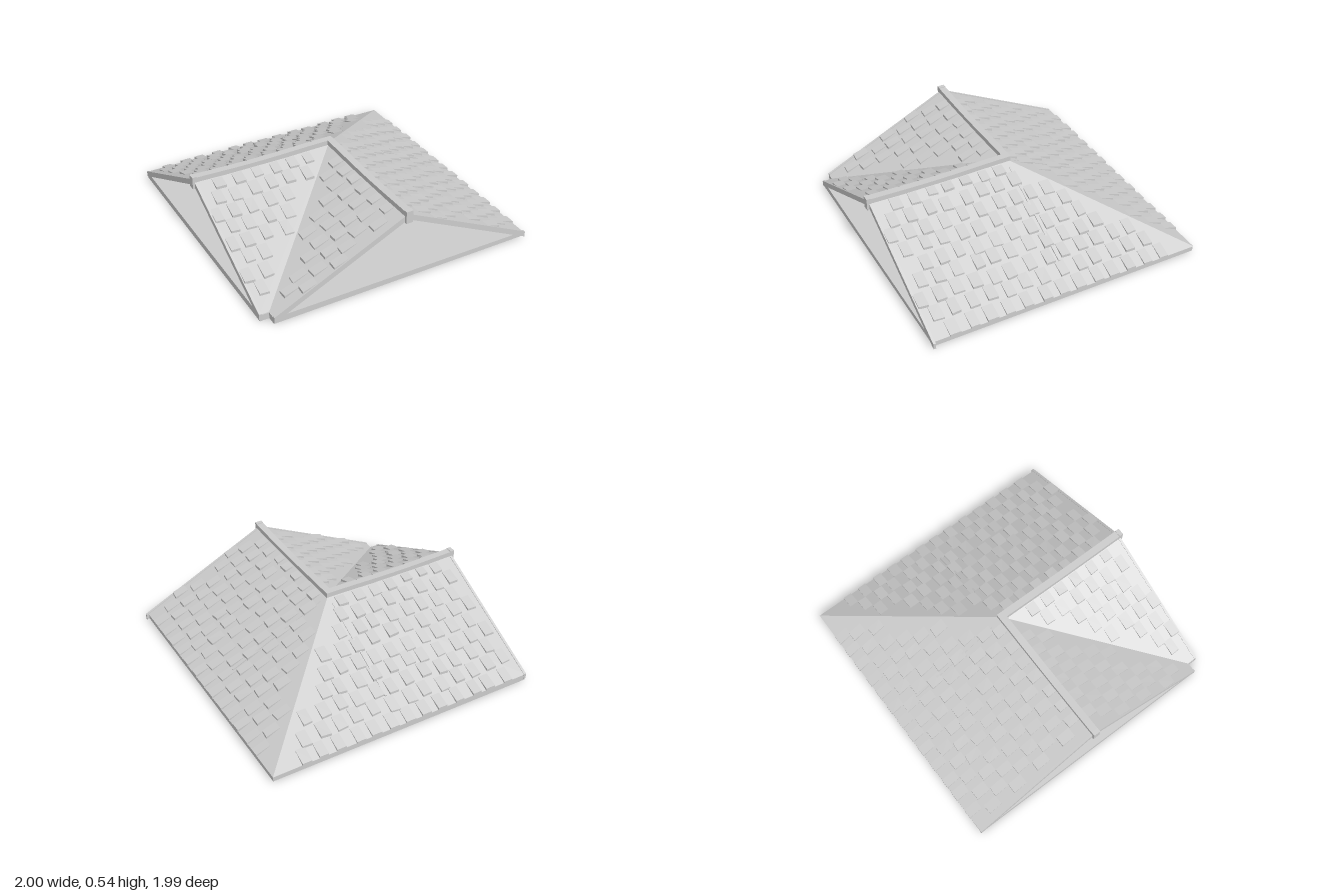
import * as THREE from 'three';
import { mergeGeometries } from 'three/addons/utils/BufferGeometryUtils.js';

const AX = 0.035, AZ = -0.04;      // where the two ridges meet
const TOP = 0.505, PITCH = 0.48;   // ridge height and fall per unit of run
const RUN = 0.948;                 // ridge to eave, in plan

const material = new THREE.MeshStandardMaterial({ color: 0xcccccc, flatShading: true, side: THREE.DoubleSide });

function seeded(seed) {
  return () => {
    seed = (seed * 16807) % 2147483647;
    return seed / 2147483647;
  };
}

function add(parent, name, geometry) {
  const mesh = new THREE.Mesh(geometry, material);
  mesh.name = name;
  parent.add(mesh);
  return mesh;
}

// Surface from quads; corners run anticlockwise seen from outside unless flipped
function quads(list, flip) {
  const pos = [];
  for (const [a, b, c, d] of list) {
    const order = flip ? [a, c, b, a, d, c] : [a, b, c, a, c, d];
    for (const p of order) pos.push(p.x, p.y, p.z);
  }
  const g = new THREE.BufferGeometry();
  g.setAttribute('position', new THREE.Float32BufferAttribute(pos, 3));
  g.computeVertexNormals();
  return g;
}

// One roof plane: u runs along the ridge from the crossing, d runs down the slope.
// sign -1 starts the plane at an outer hip, +1 at an inner valley.
function roofSlope(name, along, down, sign, length, seed) {
  const group = new THREE.Group();
  group.name = name;
  const rnd = seeded(seed);
  const flip = along[1] * down[0] - along[0] * down[1] < 0;
  const at = (u, d, lift = 0) => new THREE.Vector3(
    AX + along[0] * u + down[0] * d,
    TOP - PITCH * d + lift,
    AZ + along[1] * u + down[1] * d);

  add(group, 'deck', quads([[at(0, 0), at(sign * RUN, RUN), at(length, RUN), at(length, 0)]], !flip));

  // Wedge shingle: almost flush at its upper edge, raised at its lower edge
  const shingle = (u0, u1, d0, d1, lift, skew = 0) => {
    const a = at(u0, d0, 0.003), b = at(u1, d0, 0.003);
    const c = at(u1, d1 + skew, lift), e = at(u0, d1, lift);
    const cb = at(u1, d1 + skew), eb = at(u0, d1);
    const ab = at(u0, d0), bb = at(u1, d0);
    return quads([[a, e, c, b], [e, eb, cb, c], [a, ab, eb, e], [b, c, cb, bb]], !flip);
  };

  const tiles = [];
  const rows = 9, step = 0.106;
  for (let r = 0; r < rows; r++) {
    const d1 = RUN + 0.004 - r * step;
    const first = -1 + (r % 2) * 0.065;
    for (let u = first; u < length; u += 0.13) {
      const u0 = u + (rnd() - 0.5) * 0.025;
      const u1 = u0 + 0.062 + rnd() * 0.015;
      const low = d1 + (r ? (rnd() - 0.5) * 0.025 : 0);
      const high = Math.max(0.03, low - 0.1);
      const lift = 0.012 + rnd() * 0.008;
      const skew = r ? (rnd() - 0.5) * 0.012 : 0;
      // keep clear of the hip or valley and of the gable
      const limit = sign < 0 ? -high : low;
      if (u0 < limit + 0.005 || u1 > length) continue;
      tiles.push(shingle(u0, u1, high, low, lift, skew));
    }
  }
  // Raised seam on the two planes that continue past the crossing
  if (sign < 0) tiles.push(shingle(-0.007, 0.007, 0.06, 0.75, 0.01));
  add(group, 'shingles', mergeGeometries(tiles));
  return group;
}

// Ridge beam with a slight wave, and a block at its gable end
function ridge(name, length) {
  const group = new THREE.Group();
  group.name = name;
  const beam = new THREE.BoxGeometry(length + 0.025, 0.035, 0.05, 10, 1, 1);
  beam.translate((length - 0.025) / 2, 0.512, 0);
  const p = beam.attributes.position;
  for (let i = 0; i < p.count; i++) {
    p.setY(i, p.getY(i) + 0.005 * Math.cos(p.getX(i) * 5.5));
  }
  beam.computeVertexNormals();
  add(group, 'ridgeBeam', beam);
  const end = new THREE.BoxGeometry(0.03, 0.087, 0.05);
  end.translate(length - 0.015, 0.494, 0);
  add(group, 'ridgeEnd', end);
  group.position.set(AX, 0, AZ);
  return group;
}

// Pair of sloping boards around an open gable
function gableBoards(name, left, right) {
  const h = (s) => TOP + 0.004 - PITCH * Math.abs(s);
  const t = 0.042;
  const shape = new THREE.Shape();
  shape.moveTo(left, h(left));
  shape.lineTo(0, h(0));
  shape.lineTo(right, h(right));
  shape.lineTo(right, h(right) - t);
  shape.lineTo(0, h(0) - t);
  shape.lineTo(left, h(left) - t);
  const g = new THREE.ExtrudeGeometry(shape, { depth: 0.018, bevelEnabled: false });
  const mesh = new THREE.Mesh(g, material);
  mesh.name = name;
  return mesh;
}

export function createModel() {
  const model = new THREE.Group();
  model.name = 'cornerRoof';

  // Floor slab with a notch below the valley, its underside slightly tilted
  const plan = [[-0.98, -0.985], [0.98, -0.985], [0.98, 0.975], [-0.915, 0.975], [-0.915, 0.91], [-0.98, 0.91]];
  const shape = new THREE.Shape(plan.map(([x, z]) => new THREE.Vector2(x, -z)));
  const floor = new THREE.ExtrudeGeometry(shape, { depth: 0.045, bevelEnabled: false });
  floor.rotateX(-Math.PI / 2);
  const p = floor.attributes.position;
  for (let i = 0; i < p.count; i++) {
    if (p.getY(i) < 0.02) p.setY(i, 0.006 * (p.getX(i) + 0.98));
  }
  floor.computeVertexNormals();
  add(model, 'floor', floor);

  // Four roof planes: directions are [x, z]
  model.add(
    roofSlope('backSlope', [-1, 0], [0, -1], -1, 1.015, 11),
    roofSlope('leftSlope', [0, 1], [1, 0], -1, 1.018, 37),
    roofSlope('innerFrontSlope', [-1, 0], [0, 1], 1, 1.015, 71),
    roofSlope('innerRightSlope', [0, 1], [-1, 0], 1, 1.015, 101));

  // Ridges
  const sideRidge = ridge('sideRidge', 1.035);
  sideRidge.rotation.y = Math.PI;
  const frontRidge = ridge('frontRidge', 1.04);
  frontRidge.rotation.y = -Math.PI / 2;
  model.add(sideRidge, frontRidge);

  // Gable boards at the two open ends
  const front = gableBoards('frontGableBoards', -0.95, 0.963);
  front.position.set(AX, 0, 0.965);
  const side = gableBoards('sideGableBoards', -0.948, 0.95);
  side.rotation.y = -Math.PI / 2;
  side.position.set(-0.967, 0, AZ);
  model.add(front, side);

  return model;
}
